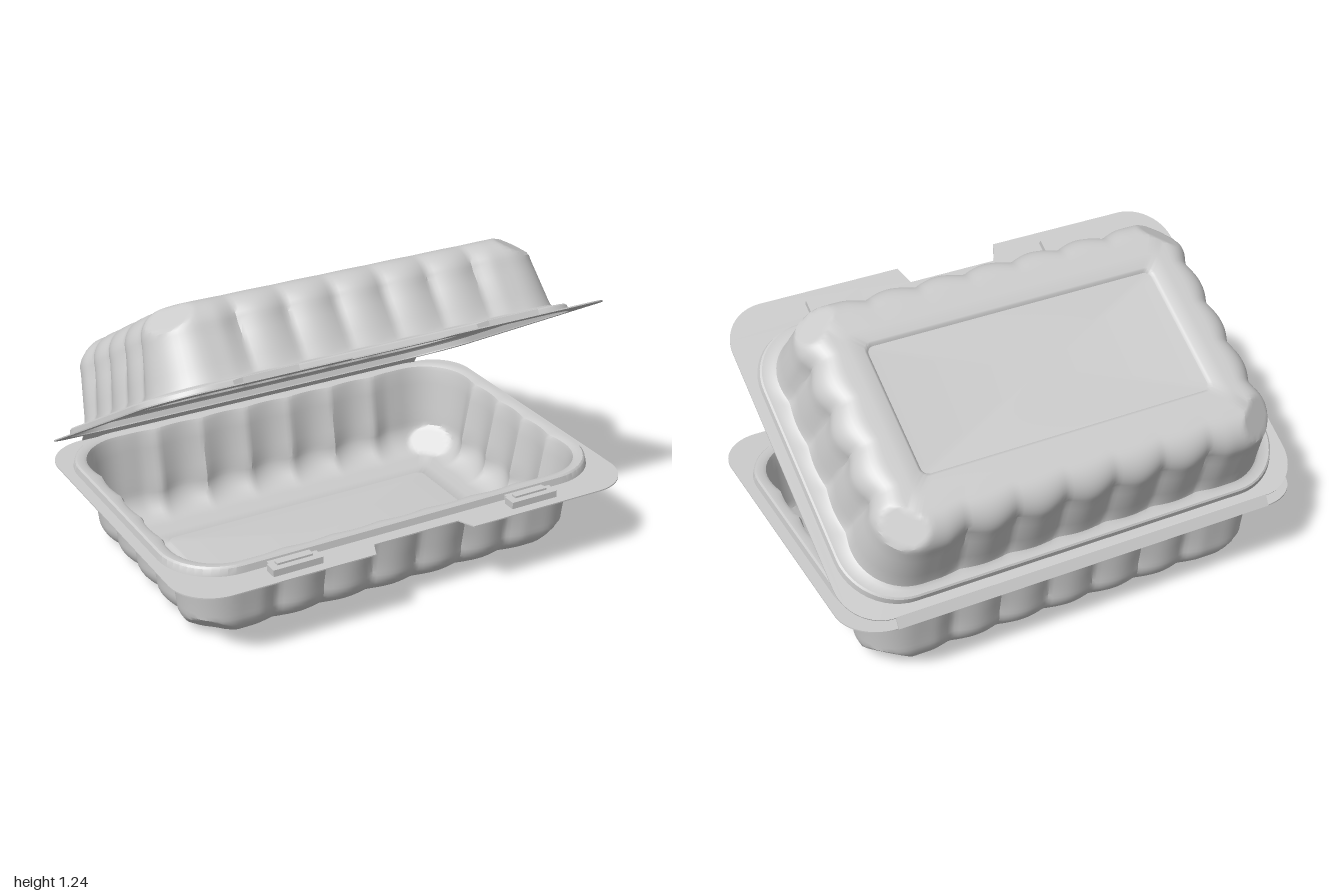
import * as THREE from 'three';
import { toCreasedNormals } from 'three/addons/utils/BufferGeometryUtils.js';

const material = new THREE.MeshStandardMaterial({ color: 0xcccccc, side: THREE.DoubleSide });
const LONG = 84, SHORT = 56, ARC = 12;

function mesh(geometry, name) {
  const m = new THREE.Mesh(geometry, material);
  m.name = name;
  return m;
}

// Scalloped wall: outward arcs meeting in narrow grooves, fading out near the corners
function scallop(t, pitch, limit) {
  const fade = THREE.MathUtils.clamp((limit - Math.abs(t)) / 0.06, 0, 1);
  return -(1 - Math.abs(Math.cos(Math.PI * t / pitch))) * fade;
}

// Rounded rectangle in x and z with a fixed number of points, optionally scalloped
function ring(hx, hz, r, amp = 0) {
  const pts = [], ax = hx - r, az = hz - r;
  for (let side = 0; side < 4; side++) {
    const a0 = side * Math.PI / 2, alongZ = side % 2 === 0;
    const n = alongZ ? SHORT : LONG, half = alongZ ? az : ax, dist = alongZ ? hx : hz;
    const c = Math.round(Math.cos(a0)), s = Math.round(Math.sin(a0));
    for (let i = 0; i < n; i++) {
      const t = -half + 2 * half * i / n;
      const d = dist + amp * scallop(t, alongZ ? 0.19 : 0.21, alongZ ? 0.38 : 0.64);
      pts.push([c * d - s * t, s * d + c * t]);
    }
    const cx = (c - s) * ax, cz = (c + s) * az;
    for (let i = 0; i < ARC; i++) {
      const a = a0 + i / ARC * Math.PI / 2;
      pts.push([cx + Math.cos(a) * r, cz + Math.sin(a) * r]);
    }
  }
  return pts;
}

// Pressed tray: rim, scalloped walls, rounded floor edge, recessed panel
function trayGeometry({ hx, hz, depth, rim, dir }) {
  const R = 0.2, F = 0.12, bx = hx - 0.03, bz = hz - 0.03, br = R - 0.03;
  const rings = [
    [0.957, hz + 0.05, R + 0.04, 0, 0],
    [0.952, hz + 0.045, R + 0.04, rim * 0.8, 0],
    [0.945, hz + 0.038, R + 0.035, rim, 0],
    [hx + 0.018, hz + 0.018, R + 0.018, rim, 0],
    [hx + 0.005, hz + 0.005, R + 0.005, rim + 0.008, 0.01],
    [hx, hz, R, rim + 0.025, 0.016],
  ];
  for (let i = 1; i <= 3; i++) {
    const k = i / 4;
    rings.push([hx - 0.03 * k, hz - 0.03 * k, R - 0.03 * k,
      THREE.MathUtils.lerp(rim + 0.025, depth - F, k), 0.016 + 0.016 * k]);
  }
  for (let i = 0; i <= 10; i++) {
    const a = i / 10 * Math.PI / 2, inset = F * (1 - Math.cos(a));
    rings.push([bx - inset, bz - inset, br - inset, depth - F + F * Math.sin(a), 0.032 * (1 - i / 14)]);
  }
  rings.push([0.69, 0.35, 0.045, depth, 0], [0.635, 0.295, 0.04, depth, 0], [0.628, 0.288, 0.035, depth - 0.004, 0],
    [0.62, 0.28, 0.03, depth - 0.014, 0], [0.61, 0.27, 0.025, depth - 0.015, 0]);

  // Flat round facet cut across each floor corner
  const n = new THREE.Vector3(0.46, 0.76, 0.46);
  const tip = new THREE.Vector3(bx - br + (br - F) * 0.707, depth - F, bz - br + (br - F) * 0.707);
  const limit = n.dot(tip) + F - 0.027;

  const pos = [], index = [], p = new THREE.Vector3();
  let count = 0;
  for (const [x, z, r, h, amp] of rings) {
    const loop = ring(x, z, r, amp);
    count = loop.length;
    for (const [px, pz] of loop) {
      p.set(Math.abs(px), h, Math.abs(pz));
      const over = n.dot(p) - limit;
      if (over > 0) p.addScaledVector(n, -over);
      pos.push(Math.sign(px) * p.x, p.y * dir, Math.sign(pz) * p.z);
    }
  }
  const addFace = (a, b, c) => (dir > 0 ? index.push(a, c, b) : index.push(a, b, c));
  for (let j = 0; j < rings.length - 1; j++) {
    for (let i = 0; i < count; i++) {
      const a = j * count + i, b = j * count + (i + 1) % count;
      addFace(a, b, a + count);
      addFace(b, b + count, a + count);
    }
  }
  const last = (rings.length - 1) * count, centre = pos.length / 3;
  pos.push(0, (depth - 0.015) * dir, 0);
  for (let i = 0; i < count; i++) addFace(last + i, last + (i + 1) % count, centre);
  const g = new THREE.BufferGeometry();
  g.setAttribute('position', new THREE.Float32BufferAttribute(pos, 3));
  g.setIndex(index);
  return toCreasedNormals(g, 0.6);
}

// Thin flange with rounded corners, a finger notch in front and the tray opening cut out
function flangeGeometry({ hz, cz, back, front, notch }) {
  const s = new THREE.Shape(), r = 0.18;
  s.moveTo(-1 + r, back);
  s.lineTo(1 - r, back);
  s.absarc(1 - r, back + r, r, -Math.PI / 2, 0);
  s.lineTo(1, front - r);
  s.absarc(1 - r, front - r, r, 0, Math.PI / 2);
  s.lineTo(0.22, front);
  s.lineTo(0.19, front - notch);
  s.lineTo(-0.19, front - notch);
  s.lineTo(-0.22, front);
  s.lineTo(-1 + r, front);
  s.absarc(-1 + r, front - r, r, Math.PI / 2, Math.PI);
  s.lineTo(-1, back + r);
  s.absarc(-1 + r, back + r, r, Math.PI, Math.PI * 1.5);
  const hole = ring(0.955, hz + 0.048, 0.24).map(([x, z]) => new THREE.Vector2(x, z + cz));
  s.holes.push(new THREE.Path(hole));
  const g = new THREE.ExtrudeGeometry(s, { depth: 0.005, bevelEnabled: false, curveSegments: 16 });
  return g.rotateX(Math.PI / 2);
}

function makeHalf(name, opts) {
  const half = new THREE.Group();
  half.name = name;
  const tray = mesh(trayGeometry(opts), name + 'Tray');
  tray.position.z = opts.cz;
  half.add(tray, mesh(flangeGeometry(opts), name + 'Flange'));
  return half;
}

function addBox(parent, name, size, at) {
  const b = mesh(new THREE.BoxGeometry(...size), name);
  b.position.set(...at);
  parent.add(b);
}

export function createModel() {
  const model = new THREE.Group();
  model.name = 'hingedContainer';

  const base = makeHalf('base', { hx: 0.9, hz: 0.58, cz: -0.022, depth: 0.35, rim: -0.035, dir: -1,
    back: -0.7, front: 0.73, notch: 0.068 });
  base.position.y = 0.35;

  const lid = makeHalf('lid', { hx: 0.885, hz: 0.567, cz: 0.655, depth: 0.355, rim: 0.028, dir: 1,
    back: 0, front: 1.41, notch: 0.075 });
  lid.position.set(0, 0.385, -0.68);
  lid.rotation.x = -Math.PI / 6;

  // Snap latches either side of the notch
  for (const side of [-1, 1]) {
    const x = side * 0.53;
    addBox(base, 'latchNeck', [0.18, 0.02, 0.06], [x, 0.01, 0.615]);
    addBox(base, 'latchTab', [0.21, 0.028, 0.055], [x, 0.014, 0.662]);
    addBox(base, 'latchCatch', [0.15, 0.008, 0.025], [x, 0.032, 0.65]);
    addBox(lid, 'latchPocket', [0.23, 0.022, 0.1], [x, 0.011, 1.31]);
  }

  // Folding strip joining the back edges
  const hinge = mesh(new THREE.BoxGeometry(1.64, 0.005, 0.046), 'hinge');
  hinge.position.set(0, 0.366, -0.69);
  hinge.rotation.x = -1.05;

  model.add(base, lid, hinge);
  return model;
}
